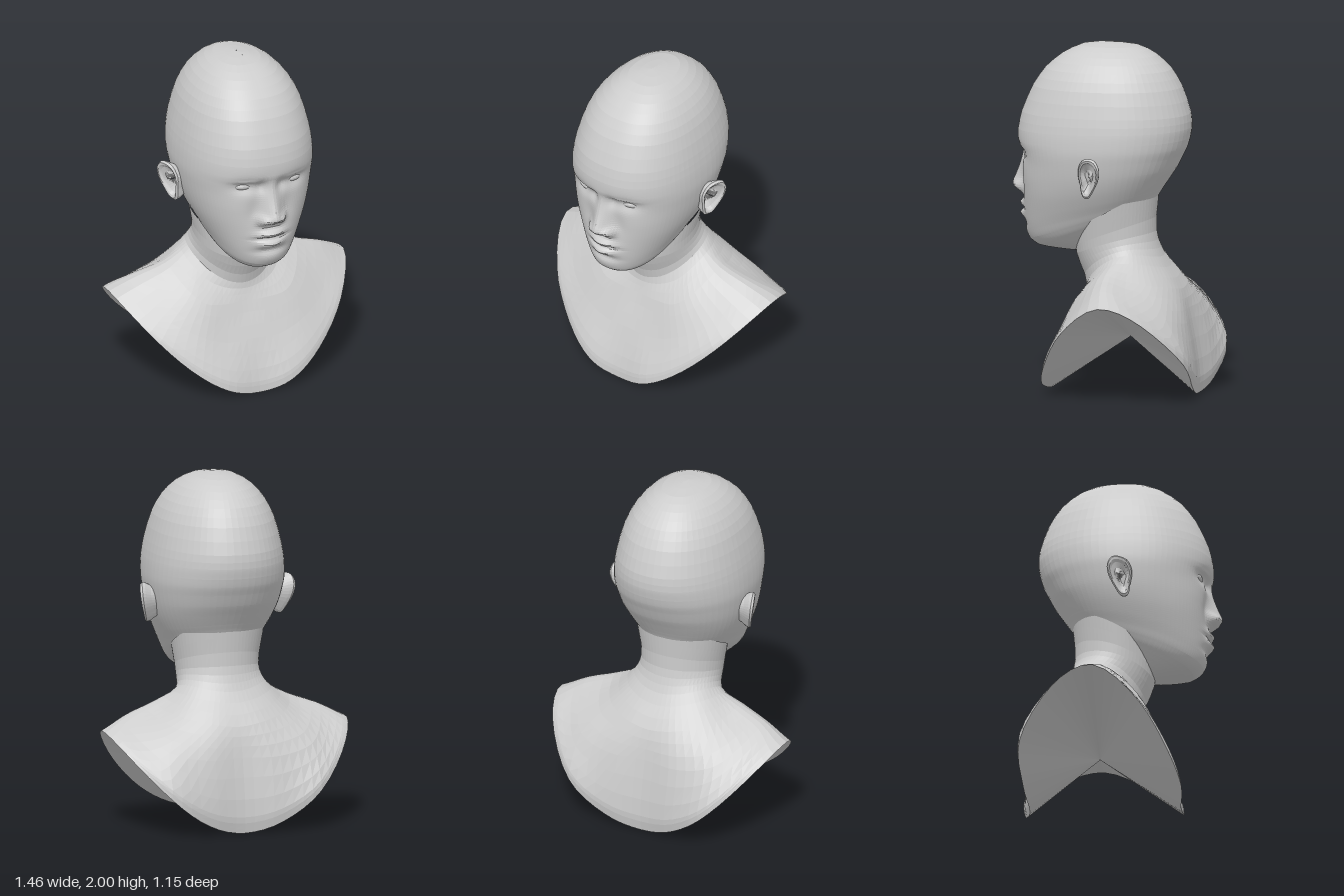
import * as THREE from 'three';

const skin = new THREE.MeshStandardMaterial({ color: 0xcccccc, flatShading: true });
skin.name = 'light grey';

const V = (x, y, z) => new THREE.Vector3(x, y, z);
const mesh = (name, geometry) => {
  const m = new THREE.Mesh(geometry, skin);
  m.name = name;
  return m;
};

// Skin closed rings (first = top, counter-clockwise seen from the top) into a surface.
// A ring of equal points acts as a pole.
function loft(rings) {
  const n = rings[0].length, pos = [], index = [];
  rings.forEach(r => r.forEach(p => pos.push(p.x, p.y, p.z)));
  for (let i = 0; i < rings.length - 1; i++) {
    for (let j = 0; j < n; j++) {
      const a = i * n + j, b = i * n + (j + 1) % n, c = a + n, d = b + n;
      index.push(a, c, b);
      if (rings[i + 1][0].distanceTo(rings[i + 1][1]) > 1e-6) index.push(b, c, d);
    }
  }
  const g = new THREE.BufferGeometry();
  g.setAttribute('position', new THREE.Float32BufferAttribute(pos, 3));
  g.setIndex(index);
  g.computeVertexNormals();
  return g;
}

const closedRing = (points, n) => {
  const curve = new THREE.CatmullRomCurve3(points, true);
  return Array.from({ length: n }, (_, k) => curve.getPoint(k / n));
};

// Face relief: [x, y, spread x, spread y, depth], mirrored in x
const features = [
  [0.15, 1.365, 0.055, 0.032, -0.03],   // eye sockets
  [0.06, 1.36, 0.025, 0.03, -0.02],     // inner eye corners
  [0.15, 1.4, 0.045, 0.009, 0.007],     // upper lids
  [0.06, 1.155, 0.02, 0.022, 0.032],    // nostril wings
  [0.1, 1.2, 0.03, 0.06, -0.01],        // hollows beside the nose
  [0.23, 1.22, 0.07, 0.07, 0.008],      // cheeks
  [0.03, 1.06, 0.042, 0.016, 0.022],    // upper lip
  [0.025, 1.0, 0.042, 0.018, 0.022],    // lower lip
  [0.05, 1.033, 0.04, 0.007, -0.012],   // mouth line
  [0.04, 0.95, 0.05, 0.016, -0.007],    // fold under the lip
  [0.02, 0.895, 0.05, 0.03, 0.005],     // chin
];

function relief(x, y) {
  // nose: a ridge rising to the tip, then dropping quickly to the lip
  const ridge = 0.08 * THREE.MathUtils.clamp((1.4 - y) / 0.22, 0, 1) ** 1.3;
  const nose = ridge * THREE.MathUtils.smoothstep(y, 1.1, 1.165);
  const width = THREE.MathUtils.mapLinear(THREE.MathUtils.clamp(y, 1.17, 1.4), 1.17, 1.4, 0.042, 0.024);
  let d = nose * Math.exp(-((x / width) ** 2) / 2);
  for (const [cx, cy, sx, sy, depth] of features) {
    for (const s of [-1, 1]) {
      d += depth * Math.exp(-(((x - s * cx) / sx) ** 2 + ((y - cy) / sy) ** 2) / 2);
    }
  }
  return d;
}

// Head: stacked ovals [y front, y back, half width, z front, z back]
function headGeometry() {
  const rows = [
    [2, 2, 0.001, 0.01, 0.008], [1.98, 1.98, 0.125, 0.17, -0.17], [1.93, 1.93, 0.21, 0.275, -0.27],
    [1.85, 1.85, 0.28, 0.37, -0.355], [1.75, 1.75, 0.33, 0.44, -0.415], [1.6, 1.6, 0.37, 0.505, -0.465],
    [1.5, 1.52, 0.385, 0.526, -0.47], [1.43, 1.46, 0.39, 0.526, -0.46], [1.37, 1.41, 0.39, 0.512, -0.445],
    [1.3, 1.36, 0.382, 0.5, -0.42], [1.2, 1.29, 0.364, 0.496, -0.385], [1.1, 1.23, 0.338, 0.497, -0.345],
    [1, 1.17, 0.302, 0.493, -0.305], [0.92, 1.13, 0.27, 0.484, -0.28], [0.86, 1.1, 0.245, 0.463, -0.265],
    [0.82, 1.07, 0.215, 0.41, -0.24], [0.795, 1, 0.14, 0.2, -0.1], [0.8, 0.9, 0.01, 0.1, 0.09],
  ];
  const heights = new THREE.CatmullRomCurve3(rows.map(r => V(r[0], r[1], r[2])));
  const depths = new THREE.CatmullRomCurve3(rows.map(r => V(r[3], r[4], 0)));
  const columns = 96, last = rows.length - 1, rings = [];
  for (let i = 0; i <= last;) {
    const a = heights.getPoint(i / last), b = depths.getPoint(i / last), ring = [];
    const mid = Math.min(0.03, (b.x + b.y) / 2 + 0.02);
    for (let j = 0; j < columns; j++) {
      const u = j / columns * Math.PI * 2;
      const t = u - 0.6 * Math.sin(u);              // columns crowd towards the face
      const c = Math.cos(t), s = Math.sin(t), p = c > 0 ? 0.86 : 0.95;
      const x = a.z * Math.sign(s) * Math.abs(s) ** p;
      let z = mid + (c > 0 ? b.x - mid : mid - b.y) * Math.sign(c) * Math.abs(c) ** p;
      const y = a.x + (a.y - a.x) * (b.x - z) / (b.x - b.y);
      if (z > 0.2) z += relief(x, y) * Math.min(1, (z - 0.2) / 0.12);
      ring.push(V(x, y, z));
    }
    rings.push(ring);
    i += i < 6 ? 0.5 : i < 15 ? 0.125 : 0.25;
  }
  return loft(rings);
}

// Neck, shoulders and chest, built from half rings running centre front to centre back
function bustGeometry() {
  // neck ovals: [y front, y back, half width, z front, z back, lift at the sides]
  const neck = [
    [0.92, 1.18, 0.265, 0.2, -0.28, 0],
    [0.78, 0.92, 0.238, 0.19, -0.265, 0.02],
    [0.6, 0.78, 0.26, 0.13, -0.31, 0.1],
  ].map(([yf, yb, w, zf, zb, lift]) => Array.from({ length: 9 }, (_, k) => {
    const s = Math.sin(k / 8 * Math.PI), t = (1 - Math.cos(k / 8 * Math.PI)) / 2;
    return V(w * s, yf + (yb - yf) * t + lift * s * s, zf + (zb - zf) * t);
  }));
  // collar and chest
  const body = [
    [[0, .5, .16], [.12, .5, .165], [.25, .52, .155], [.34, .6, .08], [.4, .71, -.08], [.38, .68, -.2], [.3, .65, -.33], [.16, .62, -.41], [0, .6, -.43]],
    [[0, .3, .25], [.16, .3, .25], [.33, .36, .22], [.5, .47, .11], [.57, .648, -.1], [.55, .6, -.25], [.43, .48, -.45], [.22, .43, -.5], [0, .43, -.48]],
  ].map(ring => ring.map(p => V(...p)));
  // plan of the cut edge, [x, z]
  const plan = [[0, .34], [.2, .35], [.4, .28], [.6, .13], [.73, -.13], [.66, -.37], [.45, -.56], [.22, -.55], [0, -.52]];

  const n = 64;
  const keys = [...neck, ...body, plan.map(([x, z]) => V(x, 0, z))].map(h => {
    const right = h.slice(1, -1).reverse().map(p => V(-p.x, p.y, p.z));
    return closedRing([...h, ...right], n);
  });
  // the cut rises in a curve from the chest to the shoulder tips
  const rim = keys.pop();
  rim.forEach(p => { p.y = 0.57 * (Math.abs(p.x) / 0.73) ** 1.9; });
  // slight swelling just above the cut edge
  const chest = keys[keys.length - 1];
  keys.push(rim.map((p, k) => p.clone().lerp(chest[k], 0.22).multiply(V(1, 1, 1.04))), rim);

  const columns = rim.map((_, j) => new THREE.CatmullRomCurve3(keys.map(k => k[j])));
  const steps = (keys.length - 1) * 3;
  const rings = Array.from({ length: steps + 1 }, (_, i) => columns.map(c => c.getPoint(i / steps)));
  // hollow underside rising to a point
  rings.push(Array.from({ length: n }, () => V(0, 0.31, -0.12)));
  return loft(rings);
}

// Ear: one outline [z, y], scaled into a hollow, a rim and a root
function earGeometry(side) {
  const outline = [[0, 1.385], [.05, 1.37], [.08, 1.31], [.07, 1.23], [.055, 1.16], [.02, 1.15], [-.02, 1.2], [-.055, 1.27], [-.06, 1.33], [-.035, 1.375]];
  // [scale, outward shift]
  const layers = [[0.02, -0.03], [0.4, -0.03], [0.66, -0.012], [0.78, 0.004], [0.9, 0.008], [1, -0.004], [0.95, -0.022], [0.75, -0.06], [0.6, -0.12]];
  const rings = layers.map(([scale, lift]) => {
    const points = outline.map(([z, y]) => {
      const flare = 0.395 + 0.4 * (0.08 - z) + 0.12 * (y - 1.27);
      return V(side * (flare + lift), 1.275 + (y - 1.275) * scale, 0.012 + (z - 0.012) * scale);
    });
    return closedRing(side > 0 ? points : points.reverse(), 30);
  });
  return loft(rings);
}

export function createModel() {
  const model = new THREE.Group();
  model.name = 'bust';
  model.add(mesh('head', headGeometry()), mesh('neckAndShoulders', bustGeometry()));
  for (const [side, label] of [[1, 'left'], [-1, 'right']]) {
    model.add(mesh(label + 'Ear', earGeometry(side)));
    const eye = mesh(label + 'Eye', new THREE.SphereGeometry(1, 16, 10));
    eye.scale.set(0.06, 0.026, 0.035);
    eye.position.set(side * 0.155, 1.363, 0.432);
    eye.rotation.y = side * 0.3;
    model.add(eye);
  }
  return model;
}
